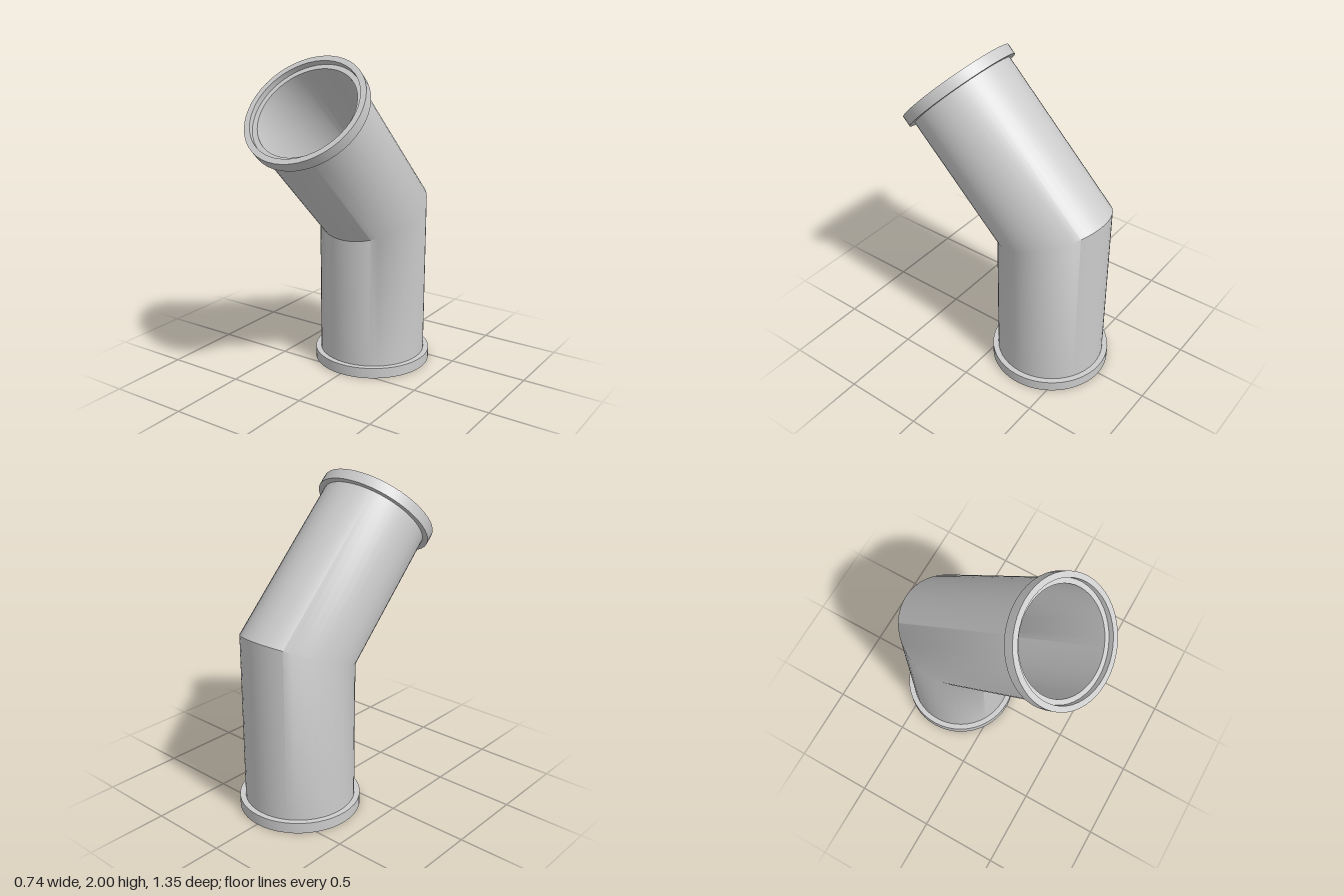
import * as THREE from 'three';
import { toCreasedNormals } from 'three/addons/utils/BufferGeometryUtils.js';

const SEG = 48;
const OUTER = 0.337, INNER = 0.306;       // pipe radii
const COLLAR = 0.372, COLLAR_H = 0.067;   // end collar radius and height
const RECESS = 0.034;                     // pipe ends sit back inside the collars
const AXIS_Z = -0.304, LEG = 1.018;       // axis of the upright leg, length of each leg
const BEND = Math.PI / 4;

const material = new THREE.MeshStandardMaterial({ color: 0xcccccc });
const DIR_Y = Math.cos(BEND), DIR_Z = Math.sin(BEND);

// Cross-sections: map an offset (x, w) from the pipe axis to a point
const bottomEnd = (x, w) => [x, RECESS, AXIS_Z + w];
const mitre = (x, w) => [x, LEG - w * Math.tan(BEND / 2), AXIS_Z + w];
const topEnd = (x, w) => {
  const d = LEG - RECESS;
  return [x, LEG + d * DIR_Y - w * DIR_Z, AXIS_Z + d * DIR_Z + w * DIR_Y];
};

// Closed pipe wall: up the outside, over the rim, down the inside, back to the start
function pipeGeometry() {
  const loops = [
    [bottomEnd, OUTER], [mitre, OUTER], [topEnd, OUTER],
    [topEnd, INNER], [mitre, INNER], [bottomEnd, INNER],
  ];
  const positions = [], index = [];
  for (const [section, r] of loops) {
    for (let j = 0; j < SEG; j++) {
      const a = (j / SEG) * Math.PI * 2;
      positions.push(...section(r * Math.sin(a), r * Math.cos(a)));
    }
  }
  for (let i = 0; i < loops.length; i++) {
    const lo = i * SEG, hi = ((i + 1) % loops.length) * SEG;
    for (let j = 0; j < SEG; j++) {
      const k = (j + 1) % SEG;
      index.push(lo + j, lo + k, hi + j, lo + k, hi + k, hi + j);
    }
  }
  const g = new THREE.BufferGeometry();
  g.setAttribute('position', new THREE.Float32BufferAttribute(positions, 3));
  g.setIndex(index);
  return toCreasedNormals(g, THREE.MathUtils.degToRad(38));
}

// Collar with its open face at y = 0, wrapped round the pipe end
function collarGeometry() {
  const profile = [
    [OUTER, RECESS], [OUTER, 0], [COLLAR, 0], [COLLAR, COLLAR_H], [OUTER, COLLAR_H],
  ].map(([r, y]) => new THREE.Vector2(r, y));
  return toCreasedNormals(new THREE.LatheGeometry(profile, SEG), Math.PI / 6);
}

export function createModel() {
  const group = new THREE.Group();
  group.name = 'pipeElbow';

  const add = (name, geometry) => {
    const mesh = new THREE.Mesh(geometry, material);
    mesh.name = name;
    group.add(mesh);
    return mesh;
  };

  add('pipe', pipeGeometry());

  const collar = collarGeometry();
  add('bottomCollar', collar).position.set(0, 0, AXIS_Z);

  const top = add('topCollar', collar);
  top.position.set(0, LEG + LEG * DIR_Y, AXIS_Z + LEG * DIR_Z);
  top.rotation.x = BEND - Math.PI;

  return group;
}
